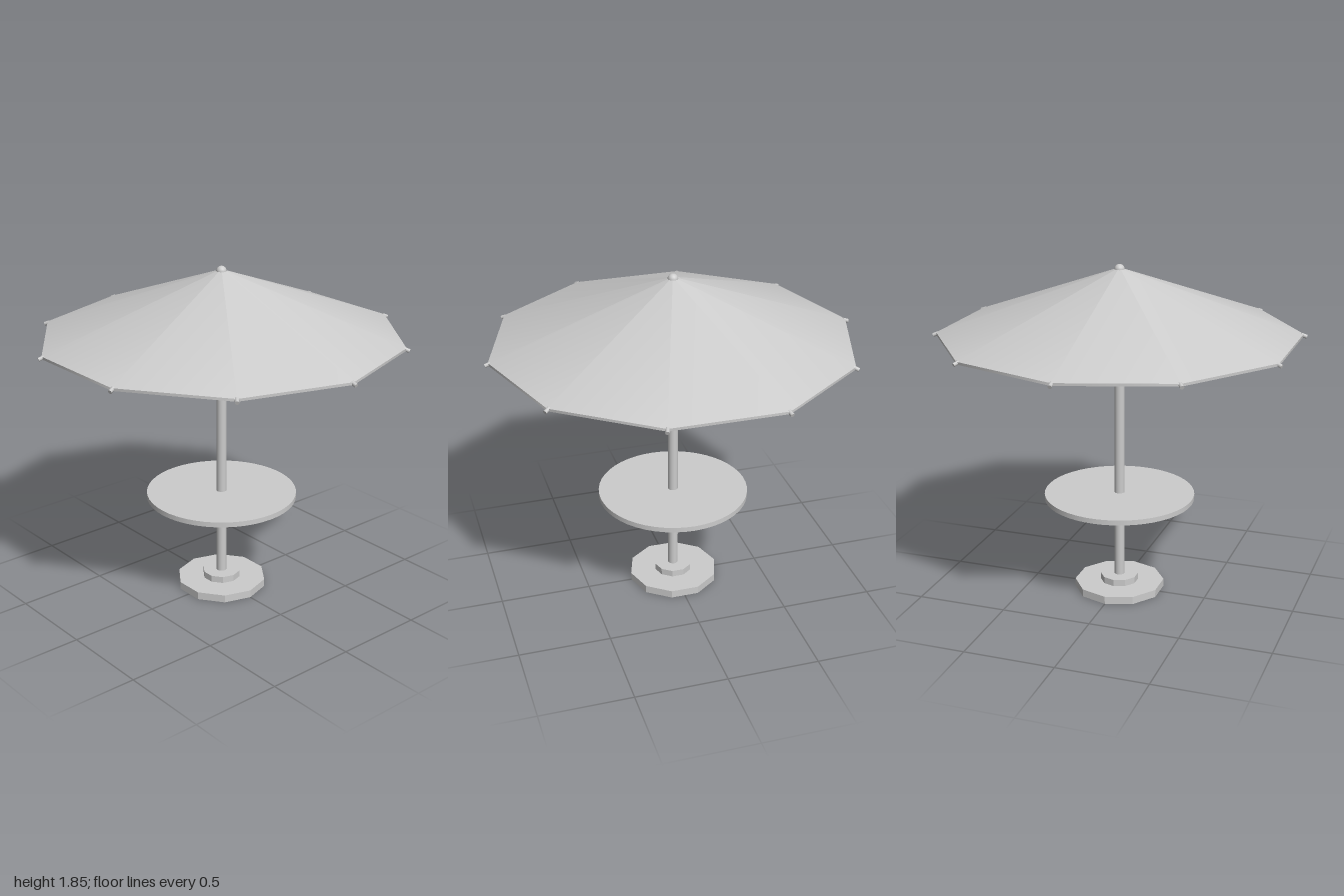
import * as THREE from 'three';

const SIDES = 10;
const TURN = Math.PI / 10; // puts a corner of each decagon on the x axis

export function createModel() {
  const model = new THREE.Group();
  model.name = 'parasolTable';
  const grey = new THREE.MeshStandardMaterial({ color: 0xcccccc });
  grey.name = 'light grey';

  const add = (name, geometry, parent = model) => {
    const mesh = new THREE.Mesh(geometry, grey);
    mesh.name = name;
    parent.add(mesh);
    return mesh;
  };

  // Upright disc or post between two heights
  const drum = (radius, y0, y1, sides) =>
    new THREE.CylinderGeometry(radius, radius, y1 - y0, sides).translate(0, (y0 + y1) / 2, 0);

  // Decagonal drum with crisp side faces
  const decagon = (radius, y0, y1) => {
    const g = drum(radius, y0, y1, SIDES).rotateY(TURN).toNonIndexed();
    g.computeVertexNormals();
    return g;
  };

  // Foot, pole and table
  add('basePlate', decagon(0.25, 0, 0.043));
  add('baseCollar', decagon(0.105, 0.043, 0.08));
  add('pole', drum(0.028, 0.08, 1.815, 16));
  add('tableTop', drum(0.415, 0.545, 0.573, 48));

  // Canopy: outer cloth, narrow hem and underside, each with its own normals
  const canopy = new THREE.Group();
  canopy.name = 'canopy';
  model.add(canopy);
  const R = 0.98, RIM = 1.48, HEM = 1.466, APEX = 1.836;
  const ring = (...points) =>
    new THREE.LatheGeometry(points.map(([r, y]) => new THREE.Vector2(r, y)), SIDES).rotateY(TURN);
  add('canopyCloth', ring([R, RIM], [0, APEX]), canopy);
  add('canopyHem', ring([R, HEM], [R, RIM]), canopy);
  add('canopyUnderside', ring([0, APEX - 0.014], [R, HEM]), canopy);

  // Rib ends poking out at each corner, sloping with the cloth
  const slope = Math.atan2(APEX - RIM, R);
  for (let i = 0; i < SIDES; i++) {
    const tip = new THREE.CylinderGeometry(0.011, 0.011, 0.032, 8)
      .rotateZ(Math.PI / 2 - slope)
      .translate(0.981, 1.471, 0)
      .rotateY((i * Math.PI * 2) / SIDES);
    add('ribTip', tip, canopy);
  }

  // Small domed cap at the peak
  const cap = new THREE.SphereGeometry(0.028, 16, 6, 0, Math.PI * 2, 0, Math.PI / 2);
  add('finial', cap.translate(0, 1.825, 0));

  return model;
}
